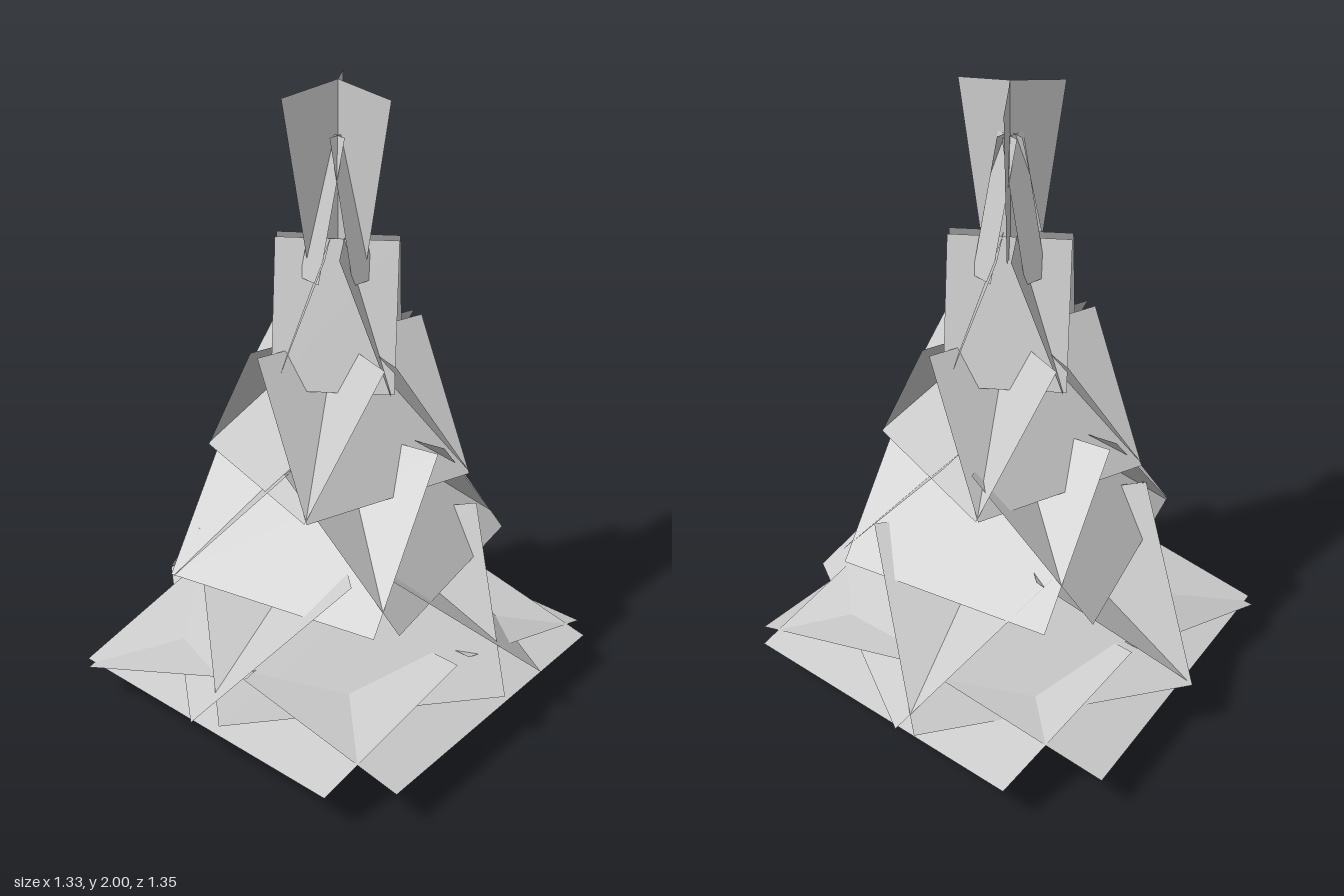
import * as THREE from 'three';

const rad = THREE.MathUtils.degToRad;
const barkMaterial = new THREE.MeshStandardMaterial({ color: 0xcccccc });
const leafMaterial = new THREE.MeshStandardMaterial({
  color: 0xcccccc, flatShading: true, side: THREE.DoubleSide,
});

// Flat four-cornered card, corners given in order around its edge
function quad(name, corners) {
  const geometry = new THREE.BufferGeometry();
  geometry.setAttribute('position', new THREE.Float32BufferAttribute(corners.flat(), 3));
  geometry.setIndex([0, 1, 2, 0, 2, 3]);
  geometry.computeVertexNormals();
  const mesh = new THREE.Mesh(geometry, leafMaterial);
  mesh.name = name;
  return mesh;
}

// Rectangular branch card leaning out from near the trunk;
// angle is its facing direction, from +x towards +z
function branchCard(angle, half, bottom, top, reach, inset) {
  const c = Math.cos(rad(angle)), s = Math.sin(rad(angle));
  const point = (d, t, y) => [c * d - s * t, y, s * d + c * t];
  return quad('branchCard', [
    point(reach, half, bottom), point(reach, -half, bottom),
    point(inset, -half, top), point(inset, half, top),
  ]);
}

// Tiers from the ground up; each holds four crossing cards
const tiers = [
  { half: 0.51, bottom: 0.13, top: 0.29, reach: 0.605, inset: 0.02, angles: [4.5, 99.8, 176.6, -82] },
  { half: 0.435, bottom: 0.18, top: 0.61, reach: 0.5, inset: 0.02, angles: [47, 139, 221, -52.6], reaches: [0.45, 0.5, 0.51, 0.51] },
  { half: 0.352, bottom: 0.49, top: 0.92, reach: 0.4, inset: 0.02, angles: [-4, 87, 168, 267] },
  { half: 0.285, bottom: 0.8, top: 1.22, reach: 0.29, inset: 0.02, angles: [25, 115, 205, 295] },
  { half: 0.18, bottom: 1.11, top: 1.53, reach: 0.17, inset: 0.02, angles: [62, 152, 242, 332] },
  { half: 0.04, bottom: 1.42, top: 1.84, reach: 0.11, inset: 0.01, angles: [15, 105, 195, 285] },
];

export function createModel() {
  const model = new THREE.Group();
  model.name = 'coniferTree';

  // Tapering trunk
  const trunk = new THREE.Mesh(new THREE.CylinderGeometry(0.006, 0.06, 1.5, 16), barkMaterial);
  trunk.name = 'trunk';
  trunk.position.y = 0.75;
  model.add(trunk);

  // Branch tiers
  tiers.forEach((tier, i) => {
    const group = new THREE.Group();
    group.name = `branchTier${i + 1}`;
    tier.angles.forEach((angle, k) => {
      const reach = tier.reaches ? tier.reaches[k] : tier.reach;
      group.add(branchCard(angle, tier.half, tier.bottom, tier.top, reach, tier.inset));
    });
    model.add(group);
  });

  // Three upright fins flaring out at the tip
  const tip = new THREE.Group();
  tip.name = 'treeTip';
  for (const angle of [0, 120, 242]) {
    const c = Math.cos(rad(angle)), s = Math.sin(rad(angle));
    tip.add(quad('tipFin', [
      [0, 1.46, 0], [c * 0.1, 1.48, s * 0.1], [c * 0.175, 1.97, s * 0.175], [0, 2, 0],
    ]));
  }
  model.add(tip);
  return model;
}
